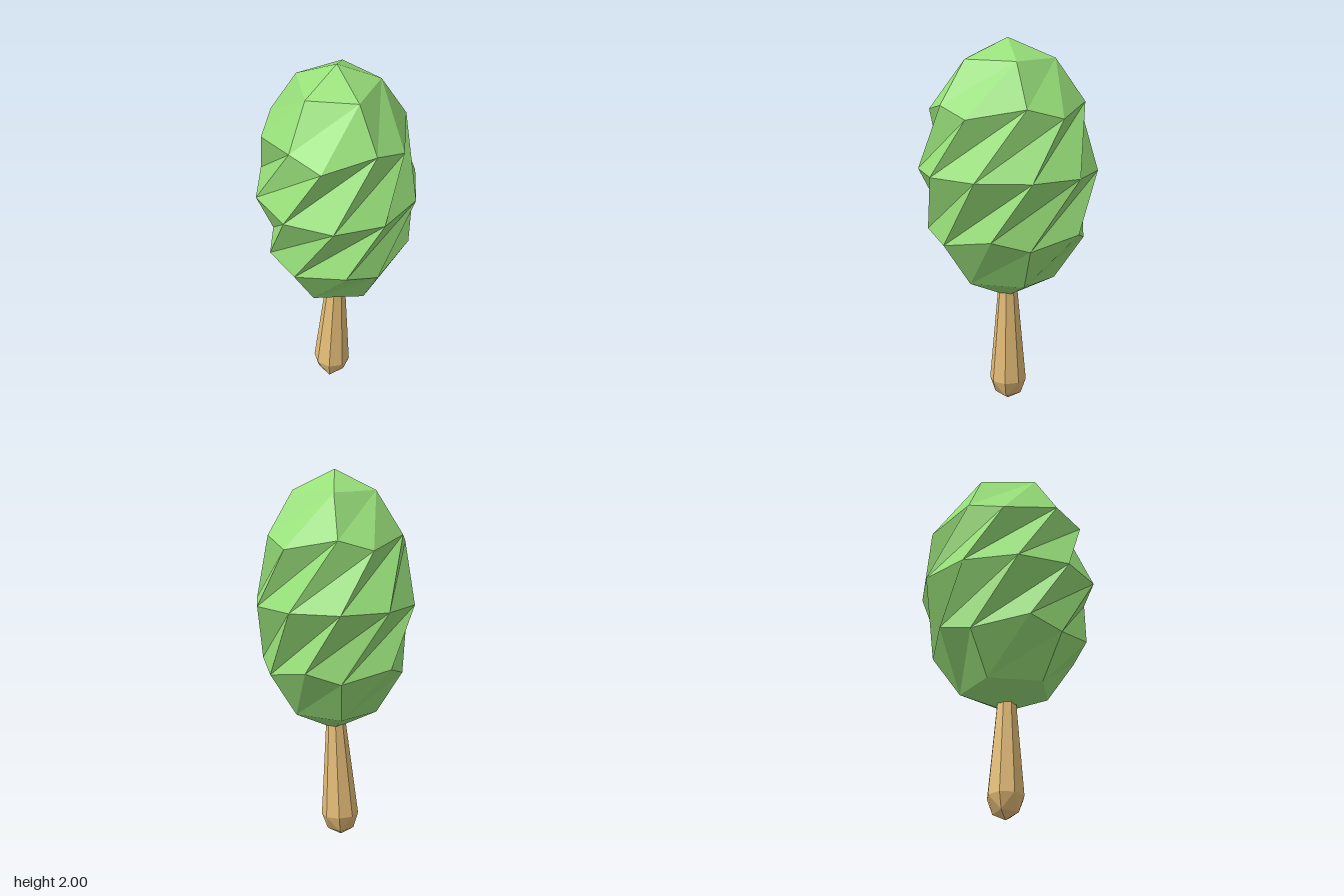
import * as THREE from 'three';

const rad = THREE.MathUtils.degToRad;

// Icosphere standing on a vertex: pole, two staggered rings of five, pole
function uprightIcosphere() {
  const ringY = 1 / Math.sqrt(5), ringR = 2 / Math.sqrt(5);
  const verts = [0, 1, 0, 0, -1, 0];
  const faces = [];
  for (let k = 0; k < 5; k++) {
    const a = rad(18 + 72 * k), b = rad(54 + 72 * k);
    verts.push(ringR * Math.sin(a), ringY, ringR * Math.cos(a));
    verts.push(ringR * Math.sin(b), -ringY, ringR * Math.cos(b));
    const u = 2 + 2 * k, l = u + 1;
    const u2 = 2 + 2 * ((k + 1) % 5), l2 = u2 + 1;
    faces.push(0, u, u2, u, l, u2, l, l2, u2, l, 1, l2);
  }
  return new THREE.PolyhedronGeometry(verts, faces, 1, 1);
}

// Twist around the vertical axis in proportion to height
function twist(geometry, angle) {
  const p = geometry.attributes.position;
  const v = new THREE.Vector3(), up = new THREE.Vector3(0, 1, 0);
  for (let i = 0; i < p.count; i++) {
    v.fromBufferAttribute(p, i);
    v.applyAxisAngle(up, angle * v.y);
    p.setXYZ(i, v.x, v.y, v.z);
  }
  return geometry;
}

export function createModel() {
  const model = new THREE.Group();
  model.name = 'twistedTree';
  const leafMat = new THREE.MeshStandardMaterial({ color: 0x98e07a, flatShading: true });
  const woodMat = new THREE.MeshStandardMaterial({ color: 0xe6be78, flatShading: true });

  // Foliage: twisted, stretched icosphere
  const crown = twist(uprightIcosphere(), rad(100));
  crown.scale(0.434, 0.7, 0.48);
  crown.computeVertexNormals();
  const foliage = new THREE.Mesh(crown, leafMat);
  foliage.name = 'foliage';
  foliage.position.y = 1.303;
  model.add(foliage);

  // Trunk: slightly leaning tapered octagon with a rounded foot
  const trunk = new THREE.Group();
  trunk.name = 'trunk';
  const shaftGeo = new THREE.CylinderGeometry(0.046, 0.1, 0.6, 8, 1, true);
  shaftGeo.translate(0, 0.3, 0);
  const shaft = new THREE.Mesh(shaftGeo, woodMat);
  shaft.name = 'trunkShaft';
  const footGeo = new THREE.OctahedronGeometry(1, 1);
  footGeo.scale(0.1, 0.12, 0.1);
  footGeo.computeVertexNormals();
  const foot = new THREE.Mesh(footGeo, woodMat);
  foot.name = 'trunkFoot';
  for (const part of [shaft, foot]) {
    part.rotation.y = rad(-6);
    trunk.add(part);
  }
  trunk.position.set(-0.03, 0.12, 0);
  trunk.rotation.z = rad(-2.5);
  model.add(trunk);

  return model;
}
